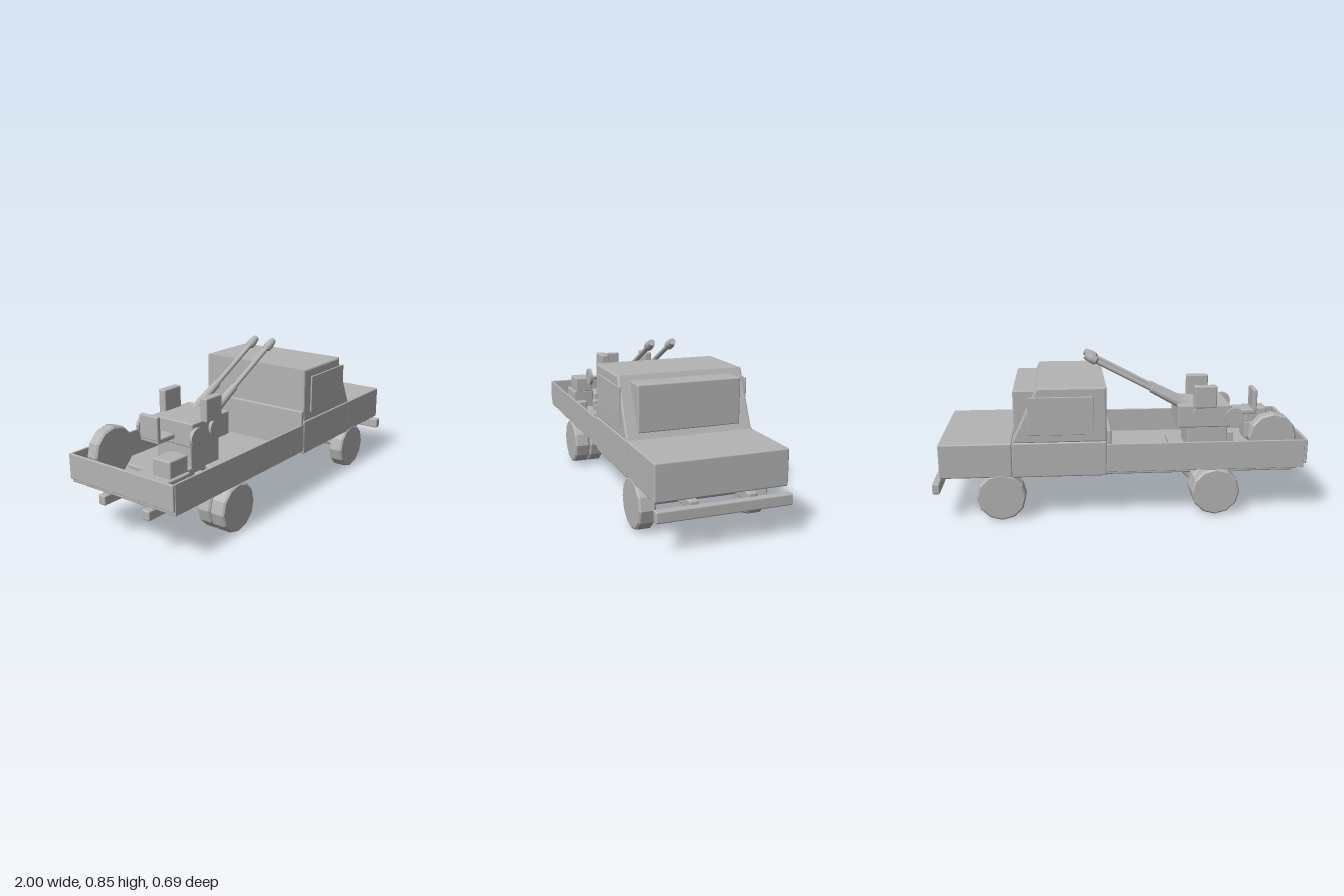
import * as THREE from 'three';
import { RoundedBoxGeometry } from 'three/addons/geometries/RoundedBoxGeometry.js';

const grey = new THREE.MeshStandardMaterial({ color: 0xb4b4b4 });
grey.name = 'plainGrey';

export function createModel() {
  const model = new THREE.Group();
  model.name = 'gunTruck';

  function add(name, geometry, parent = model) {
    const mesh = new THREE.Mesh(geometry, grey);
    mesh.name = name;
    parent.add(mesh);
    return mesh;
  }
  // Softly bevelled box given by its limits on each axis
  function box(name, x0, x1, y0, y1, z0, z1, r = 0.008) {
    const w = x1 - x0, h = y1 - y0, d = z1 - z0;
    const radius = Math.min(r, Math.min(w, h, d) * 0.3);
    const mesh = add(name, new RoundedBoxGeometry(w, h, d, 2, radius));
    mesh.position.set((x0 + x1) / 2, (y0 + y1) / 2, (z0 + z1) / 2);
    return mesh;
  }
  // Round bar lying across the vehicle
  function crossBar(name, x, y, z, r, length, sides = 20) {
    const g = new THREE.CylinderGeometry(r, r, length, sides).rotateX(Math.PI / 2);
    add(name, g).position.set(x, y, z);
  }
  // Twelve-sided wheel with bevelled shoulders
  function wheel(name, x, y, z, r, width) {
    const h = width / 2, b = 0.009;
    const profile = [[0, -h], [r - b, -h], [r, -h + b], [r, h - b], [r - b, h], [0, h]];
    const g = new THREE.LatheGeometry(profile.map(p => new THREE.Vector2(...p)), 12)
      .rotateX(Math.PI / 2).toNonIndexed();
    g.computeVertexNormals();
    add(name, g).position.set(x, y, z);
  }

  // Chassis, axles and wheels
  box('bumper', 0.96, 1, 0.16, 0.218, -0.345, 0.345);
  for (const x of [-0.51, 0.64]) crossBar('axle', x, 0.132, 0, 0.023, 0.56);
  for (const s of [-1, 1]) {
    box('chassisRail', -0.98, 0.97, 0.185, 0.237, s * 0.148 - 0.023, s * 0.148 + 0.023);
    wheel('frontWheel', 0.64, 0.132, s * 0.298, 0.131, 0.086);
    wheel('rearOuterWheel', -0.51, 0.132, s * 0.298, 0.131, 0.086);
    wheel('rearInnerWheel', -0.51, 0.132, s * 0.212, 0.131, 0.08);
  }

  // Cab and bonnet
  box('lowerCab', 0.08, 0.578, 0.243, 0.433, -0.344, 0.344);
  box('bonnet', 0.578, 0.96, 0.243, 0.43, -0.339, 0.339);
  const side = new THREE.Shape([[0.08, 0.43], [0.577, 0.43], [0.44, 0.724], [0.08, 0.724]]
    .map(p => new THREE.Vector2(...p)));
  const cab = new THREE.ExtrudeGeometry(side, {
    depth: 0.66, bevelEnabled: true, bevelSize: 0.009, bevelThickness: 0.009,
    bevelOffset: -0.009, bevelSegments: 2,
  });
  add('upperCab', cab).position.z = -0.33;
  box('windscreen', 0.445, 0.567, 0.455, 0.698, -0.275, 0.275);
  for (const s of [-1, 1]) {
    box('sideWindow', 0.145, 0.49, 0.473, 0.677, s * 0.342 - 0.005, s * 0.342 + 0.005);
  }

  // Load bed
  box('bedFloor', -0.985, 0.08, 0.262, 0.282, -0.335, 0.335);
  for (const s of [-1, 1]) {
    box('bedSide', -0.985, 0.078, 0.262, 0.418, s * 0.338 - 0.006, s * 0.338 + 0.006);
  }
  box('tailgate', -1, -0.985, 0.285, 0.418, -0.344, 0.344);
  box('headboard', 0.055, 0.076, 0.27, 0.495, -0.342, 0.342);

  // Cargo
  wheel('spareWheel', -0.828, 0.41, -0.226, 0.132, 0.07);
  box('largeCrate', -0.94, -0.765, 0.28, 0.385, 0.118, 0.247);
  box('smallCrate', -0.893, -0.765, 0.38, 0.47, 0.122, 0.232);
  box('lowCrate', -0.93, -0.78, 0.28, 0.36, -0.012, 0.103);

  // Gun mounting
  box('basePlate', -0.5, -0.3, 0.278, 0.305, -0.195, 0.195);
  box('rearPlate', -0.72, -0.46, 0.278, 0.305, -0.225, 0);
  box('pedestal', -0.61, -0.385, 0.28, 0.45, -0.115, 0.115);
  box('gunBody', -0.62, -0.328, 0.435, 0.562, -0.137, 0.137);
  crossBar('trunnion', -0.45, 0.508, 0, 0.048, 0.31);
  for (const s of [-1, 1]) {
    box('ammunitionBox', -0.537, -0.412, 0.55, 0.675, s * 0.138 - 0.022, s * 0.138 + 0.022);
    crossBar('handwheel', -0.632, 0.505, s * 0.178, 0.051, 0.018);
    crossBar('handwheelShaft', -0.605, 0.505, s * 0.15, 0.012, 0.05, 10);
  }
  box('innerFootrest', -0.685, -0.635, 0.28, 0.345, 0.06, 0.15);
  box('outerFootrest', -0.685, -0.635, 0.28, 0.345, 0.195, 0.252);
  box('seat', -0.785, -0.663, 0.485, 0.512, -0.06, 0.06);
  box('seatBack', -0.787, -0.762, 0.5, 0.625, -0.06, 0.06);
  box('seatArm', -0.7, -0.6, 0.465, 0.49, -0.058, -0.026);

  // Twin barrels: turned profile of sleeve, tube and muzzle, then raised
  const barrel = [[0, 0], [0.028, 0], [0.021, 0.22], [0.021, 0.25], [0.0135, 0.252], [0.0135, 0.585],
    [0.024, 0.597], [0.024, 0.625], [0.018, 0.662], [0, 0.662]];
  // Repeat each inner point so every step keeps a crisp edge
  const points = barrel.flatMap(([r, y], i) => {
    const p = new THREE.Vector2(r, y);
    return i > 0 && i < barrel.length - 1
      ? [p, new THREE.Vector2(r, y + 0.0003)] : [p];
  });
  for (const s of [-1, 1]) {
    const mesh = add('gunBarrel', new THREE.LatheGeometry(points, 16));
    mesh.position.set(-0.405, 0.525, s * 0.059);
    mesh.rotation.z = -Math.PI / 2 + 0.488;
  }
  return model;
}
